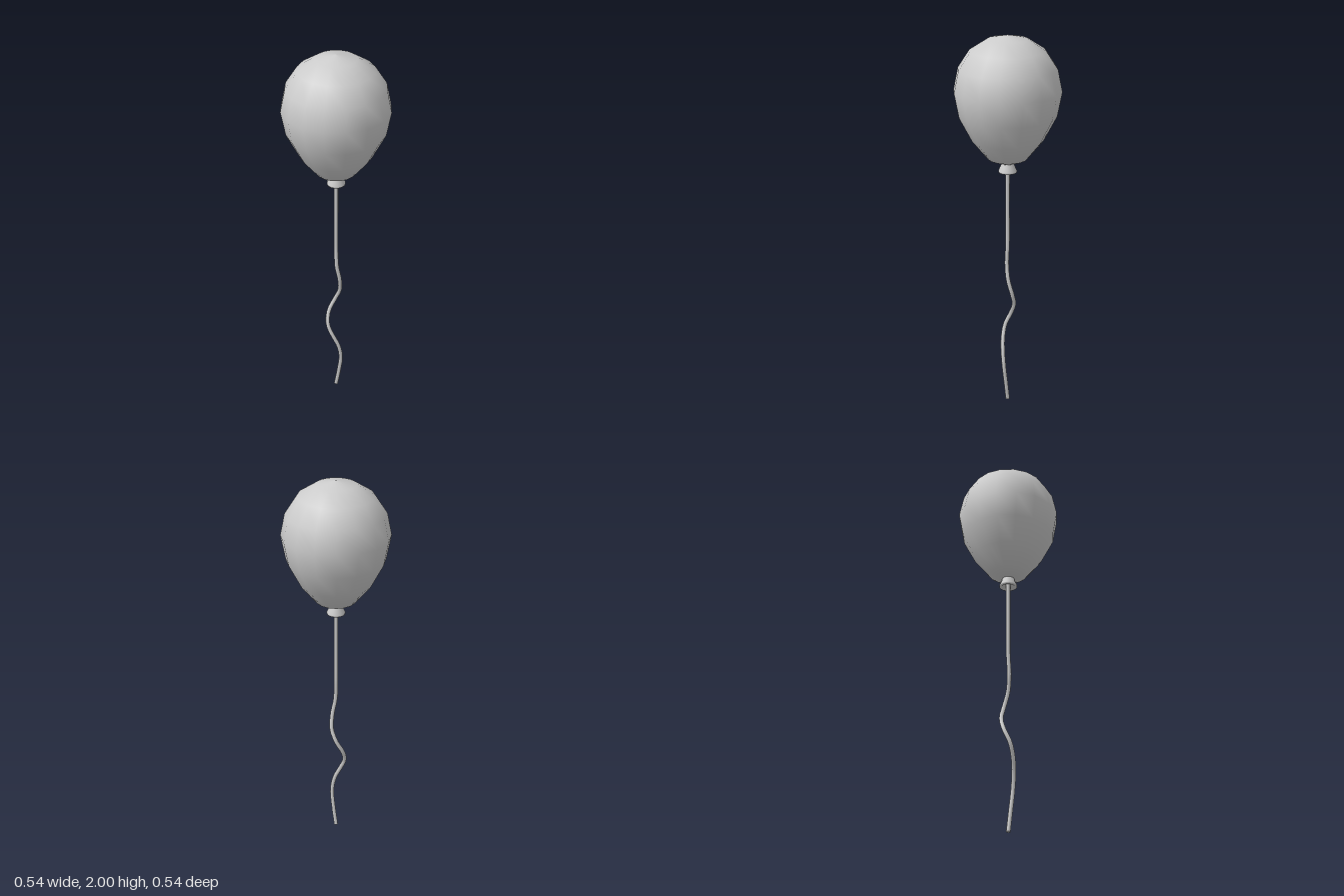
import * as THREE from 'three';

const SIDES = 16;
const STRING_RADIUS = 0.011;

const material = new THREE.MeshStandardMaterial({ color: 0xcccccc, side: THREE.DoubleSide });

function addMesh(parent, name, geometry) {
  const mesh = new THREE.Mesh(geometry, material);
  mesh.name = name;
  parent.add(mesh);
  return mesh;
}

// Surface of revolution from [radius, height] pairs, listed bottom to top
function lathe(points) {
  return new THREE.LatheGeometry(points.map(([r, y]) => new THREE.Vector2(r, y)), SIDES);
}

export function createModel() {
  const model = new THREE.Group();
  model.name = 'balloon';

  // Teardrop body, smooth shaded
  addMesh(model, 'balloonBody', lathe([
    [0, 1.352], [0.03, 1.355], [0.1, 1.382], [0.18, 1.48], [0.245, 1.605],
    [0.268, 1.728], [0.245, 1.837], [0.187, 1.925], [0.1, 1.98], [0, 2],
  ]));

  // Flared neck with a rolled rim and a shallow hollow underneath
  addMesh(model, 'neck', lathe([
    [0, 1.325], [0.028, 1.32], [0.034, 1.309], [0.046, 1.309],
    [0.047, 1.317], [0.035, 1.345], [0.03, 1.362],
  ]));

  // String: straight at the top, a loose spiral lower down
  const path = new THREE.CatmullRomCurve3([
    [0, 1.33, 0], [0, 1.1, 0], [0, 0.92, 0], [0.006, 0.81, 0.002],
    [0.015, 0.72, -0.012], [0.004, 0.64, -0.029], [-0.025, 0.57, -0.025],
    [-0.044, 0.5, 0.006], [-0.031, 0.43, 0.034], [0, 0.36, 0.03],
    [0.024, 0.3, 0.016], [0.034, 0.22, 0.004], [0.018, 0.1, 0], [0, 0, 0],
  ].map((p) => new THREE.Vector3(...p)));
  addMesh(model, 'string', new THREE.TubeGeometry(path, 48, STRING_RADIUS, 8));

  // Cap closing the lower end of the string
  const cap = addMesh(model, 'stringEnd', new THREE.CircleGeometry(STRING_RADIUS, 8));
  cap.quaternion.setFromUnitVectors(new THREE.Vector3(0, 0, 1), path.getTangent(1));

  return model;
}
